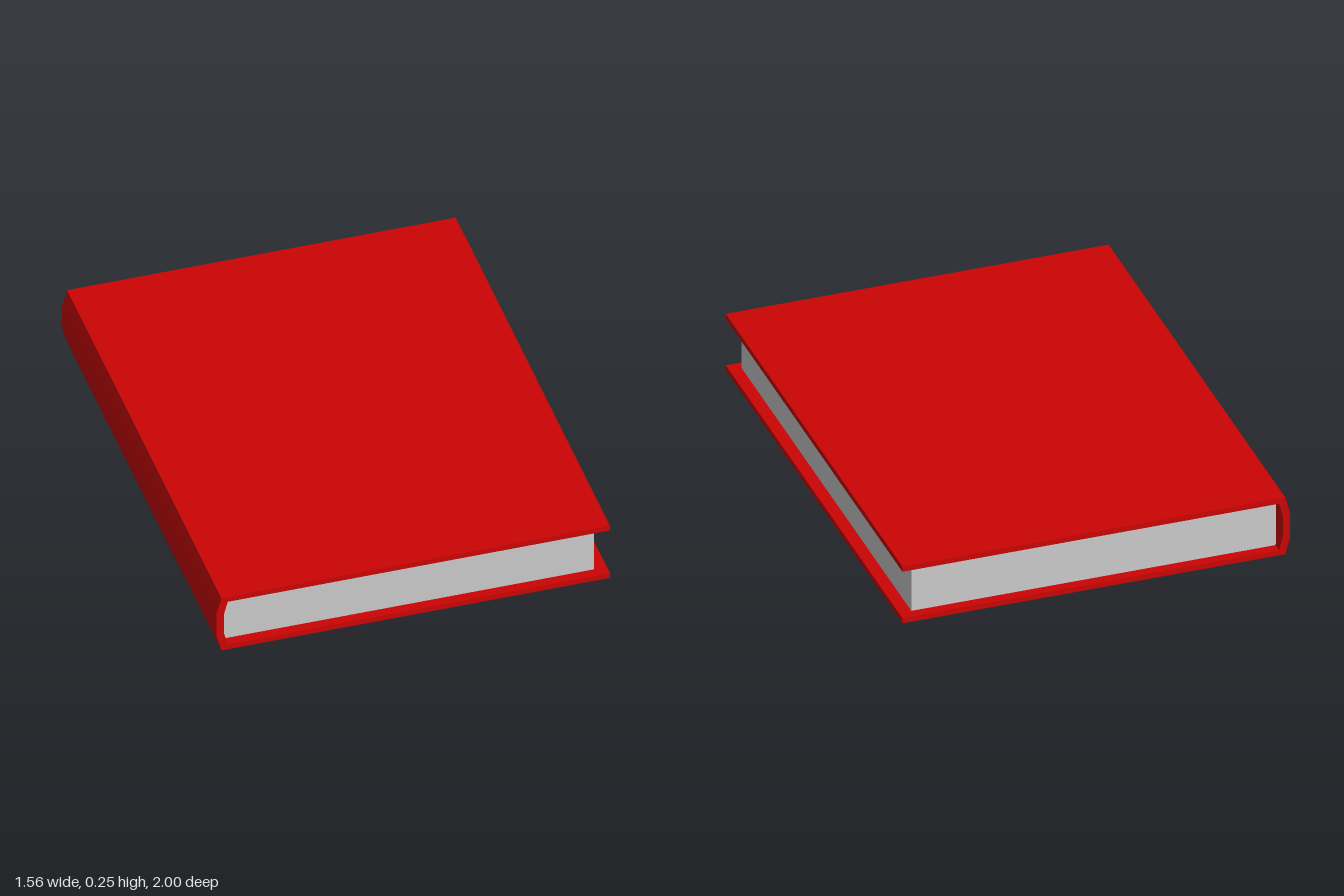
import * as THREE from 'three';

export function createModel() {
  const book = new THREE.Group();
  book.name = 'book';

  const H = 0.25, T = 0.023, EDGE = 0.78; // closed height, board thickness, fore edge

  // Cover: two boards joined by a faceted, bowed spine, as one profile
  const profile = [
    [EDGE, 0], [EDGE, T], [-0.735, T],
    [-0.75, 0.08], [-0.75, H - 0.08],
    [-0.735, H - T], [EDGE, H - T], [EDGE, H],
    [-0.76, H], [-0.78, H - 0.073], [-0.78, 0.073], [-0.76, 0],
  ];
  const shape = new THREE.Shape(profile.map(([x, y]) => new THREE.Vector2(x, y)));
  const coverGeometry = new THREE.ExtrudeGeometry(shape, { depth: 2, bevelEnabled: false });
  coverGeometry.translate(0, 0, -1);
  const cover = new THREE.Mesh(
    coverGeometry,
    new THREE.MeshStandardMaterial({ color: 0xcc0404, flatShading: true })
  );
  cover.name = 'cover';
  book.add(cover);

  // Page block, set back from the cover edges
  const left = -0.737, right = 0.73;
  const pages = new THREE.Mesh(
    new THREE.BoxGeometry(right - left, H - 2 * T, 1.92),
    new THREE.MeshStandardMaterial({ color: 0xcccccc, flatShading: true })
  );
  pages.name = 'pages';
  pages.position.set((left + right) / 2, H / 2, 0);
  book.add(pages);

  return book;
}
